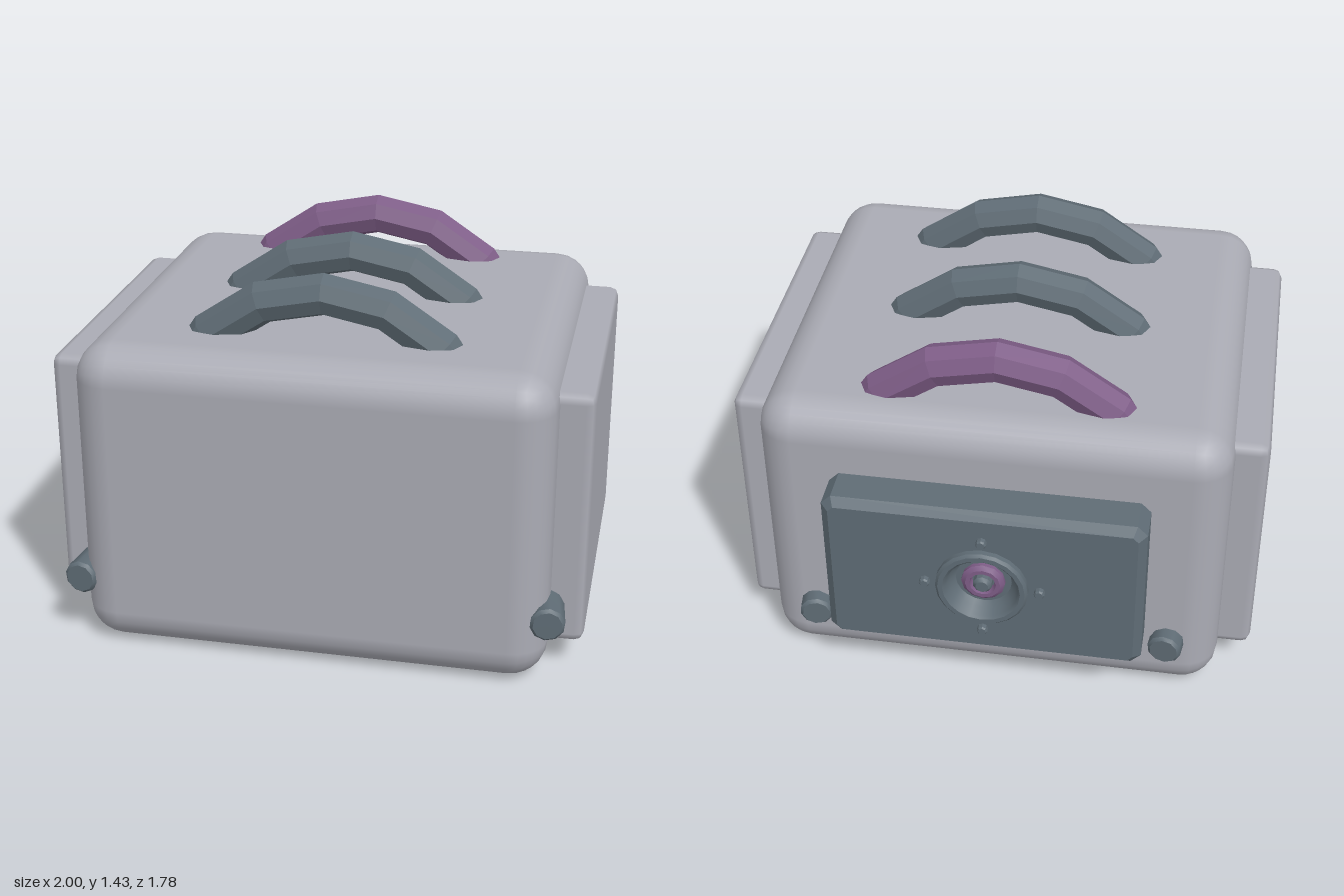
import * as THREE from 'three';
import { toCreasedNormals } from 'three/addons/utils/BufferGeometryUtils.js';
import { RoundedBoxGeometry } from 'three/addons/geometries/RoundedBoxGeometry.js';

const mat = (name, color) => Object.assign(new THREE.MeshStandardMaterial({ color }), { name });

export function createModel() {
  const model = new THREE.Group();
  model.name = 'equipmentCase';
  const paleGrey = mat('pale grey', 0xaaabb4);
  const slate = mat('slate', 0x5f6c75);
  const purple = mat('purple', 0x7e5d87);

  const add = (name, geometry, material, x = 0, y = 0, z = 0) => {
    const mesh = new THREE.Mesh(geometry, material);
    mesh.name = name;
    mesh.position.set(x, y, z);
    model.add(mesh);
    return mesh;
  };
  const lathe = (points, sides, crease = 0.6) => toCreasedNormals(
    new THREE.LatheGeometry(points.map(([r, h]) => new THREE.Vector2(r, h)), sides), crease);
  // Turned part whose axis points out of the back
  const backLathe = (points, sides, crease) => lathe(points, sides, crease).rotateX(-Math.PI / 2);

  // Main case
  add('body', new RoundedBoxGeometry(1.75, 1.19, 1.59, 3, 0.14), paleGrey, 0, 0.595, 0.095);

  // Side panels
  for (const side of [-1, 1]) {
    add(side > 0 ? 'leftPanel' : 'rightPanel',
      new RoundedBoxGeometry(0.22, 0.98, 1.235, 1, 0.035), paleGrey, side * 0.89, 0.6, 0.093);
  }

  // Arched handles, with their feet sunk in the case
  const arch = toCreasedNormals(new THREE.TorusGeometry(0.605, 0.08, 8, 8, Math.PI), 0.1);
  [[0.555, slate], [0.04, slate], [-0.48, purple]].forEach(([z, material], i) =>
    add('handle' + (i + 1), arch, material, 0, 0.742, z));

  // Tilted corner pins
  const pin = (name, end, direction, length) => {
    const geometry = lathe([[0, -length], [0.065, -length], [0.065, -0.012], [0.054, 0], [0, 0]], 10, 0.7);
    add(name, geometry, slate, ...end).quaternion.setFromUnitVectors(
      new THREE.Vector3(0, 1, 0), new THREE.Vector3(...direction).normalize());
  };
  for (const side of [-1, 1]) {
    pin('frontPin', [side * 0.88, 0.26, 0.867], [side * 0.12, 0, 1], 0.3);
    pin('backPin', [side * 0.675, 0.26, -0.76], [-side * 0.13, 0, -1], 0.15);
  }

  // Back box: bevelled plate with a round opening
  const w = 0.565, h = 0.305, c = 0.02, bevel = 0.03;
  const outline = new THREE.Shape([[w - c, -h], [w, c - h], [w, h - c], [w - c, h],
    [c - w, h], [-w, h - c], [-w, c - h], [c - w, -h]].map(([x, y]) => new THREE.Vector2(x, y)));
  outline.holes.push(new THREE.Path().absarc(0, 0, 0.16, 0, Math.PI * 2, true));
  const box = new THREE.ExtrudeGeometry(outline, {
    depth: 0.14, bevelEnabled: true, bevelThickness: bevel, bevelSize: bevel, bevelSegments: 1, curveSegments: 10,
  });
  // The outer bevel lies on z = 0.17 after extrusion; turn it to face the back
  box.rotateY(Math.PI);
  add('backBox', box, slate, 0, 0.597, -0.69);

  // Recessed dial: rim and bowl, coloured ring, centre knob
  add('dialBowl', backLathe([[0.173, 0.855], [0.173, 0.88], [0.163, 0.89], [0.145, 0.89],
    [0.135, 0.88], [0.124, 0.845], [0.105, 0.825], [0, 0.825]], 20), slate, 0, 0.597, 0);
  add('dialRing', backLathe([[0.082, 0.82], [0.082, 0.84], [0.066, 0.853], [0.05, 0.853], [0.042, 0.82]], 12),
    purple, 0, 0.597, 0);
  add('dialKnob', backLathe([[0.036, 0.82], [0.036, 0.855], [0.024, 0.868], [0, 0.868]], 10), slate, 0, 0.597, 0);

  // Screws around the dial
  const screw = backLathe([[0.02, 0.85], [0.02, 0.878], [0.015, 0.884], [0, 0.884]], 8);
  for (let i = 0; i < 4; i++) {
    const a = i * Math.PI / 2;
    add('screw', screw, slate, 0.214 * Math.cos(a), 0.597 + 0.214 * Math.sin(a), 0);
  }
  return model;
}
